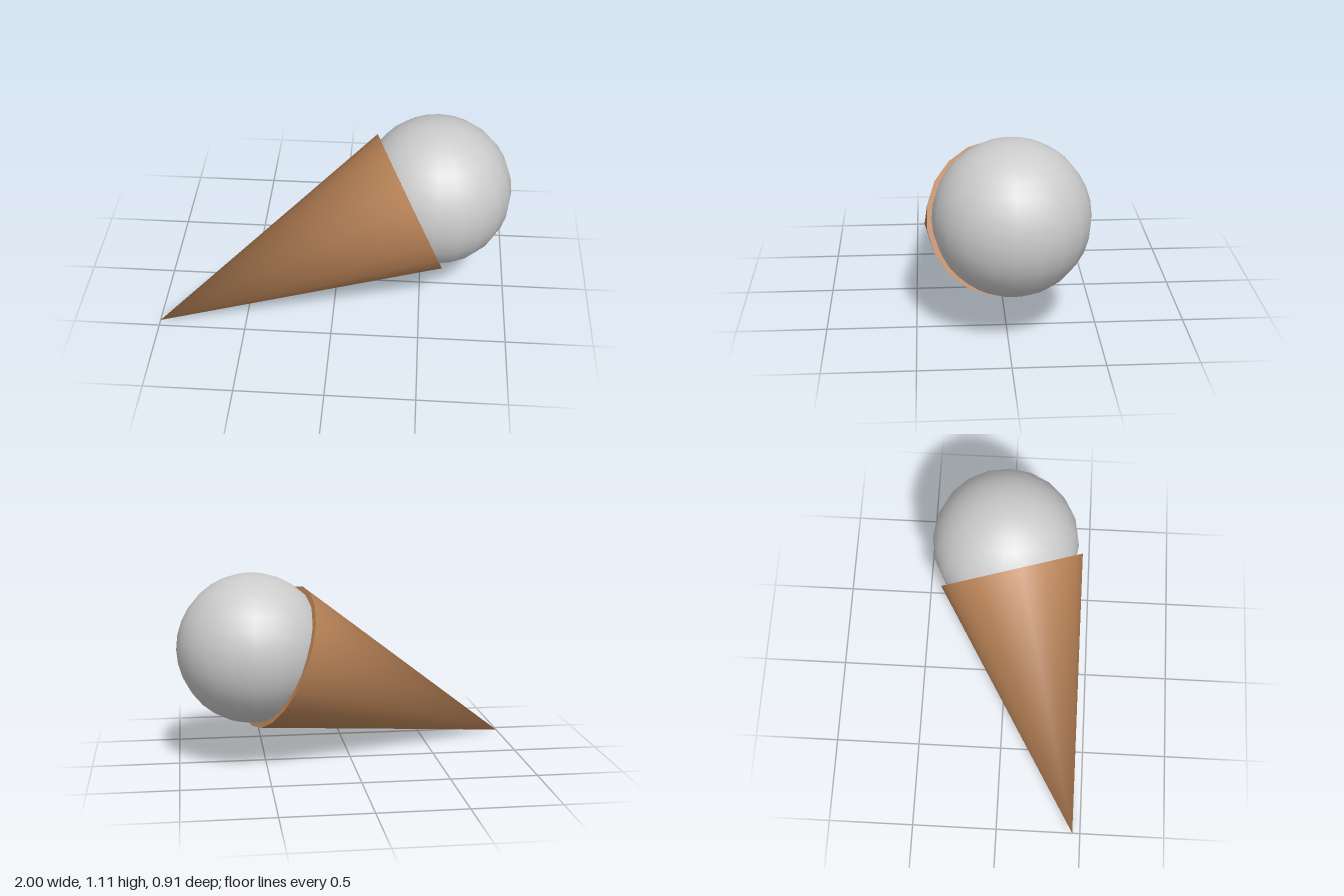
import * as THREE from 'three';

const TIP = new THREE.Vector3(-1, 0, 0.455);
const SCOOP_CENTRE = new THREE.Vector3(0.57, 0.68, -0.025);
const SCOOP_RADIUS = 0.43;
const CONE_RADIUS = 0.43;
const CONE_LENGTH = 1.61;
const SIDES = 20;

export function createModel() {
  const model = new THREE.Group();
  model.name = 'iceCreamCone';

  const wafer = new THREE.MeshStandardMaterial({ color: 0xb98357 });
  const cream = new THREE.MeshStandardMaterial({ color: 0xcccccc });

  // Tilted cone: tip at the origin of its group, mouth towards the scoop
  const cone = new THREE.Group();
  cone.name = 'cone';
  cone.position.copy(TIP);
  const axis = SCOOP_CENTRE.clone().sub(TIP).normalize();
  cone.quaternion.setFromUnitVectors(new THREE.Vector3(0, 1, 0), axis);
  model.add(cone);

  // Side wall, with one shared smooth normal at the tip
  const wallGeometry = new THREE.ConeGeometry(CONE_RADIUS, CONE_LENGTH, SIDES, 1, true);
  wallGeometry.rotateX(Math.PI).translate(0, CONE_LENGTH / 2, 0);
  const { position, normal } = wallGeometry.attributes;
  for (let i = 0; i < position.count; i++) {
    if (position.getY(i) < 0.001) normal.setXYZ(i, 0, -1, 0);
  }
  const wall = new THREE.Mesh(wallGeometry, wafer);
  wall.name = 'coneWall';
  cone.add(wall);

  // Flat mouth closing the cone; its edge shows as a rim around the scoop
  const mouthGeometry = new THREE.CircleGeometry(CONE_RADIUS, SIDES, Math.PI / 2);
  mouthGeometry.rotateX(-Math.PI / 2).translate(0, CONE_LENGTH, 0);
  const mouth = new THREE.Mesh(mouthGeometry, wafer);
  mouth.name = 'coneMouth';
  cone.add(mouth);

  // Round scoop sunk into the mouth
  const scoop = new THREE.Mesh(new THREE.SphereGeometry(SCOOP_RADIUS, SIDES, 16), cream);
  scoop.name = 'scoop';
  scoop.position.copy(SCOOP_CENTRE);
  model.add(scoop);

  return model;
}
